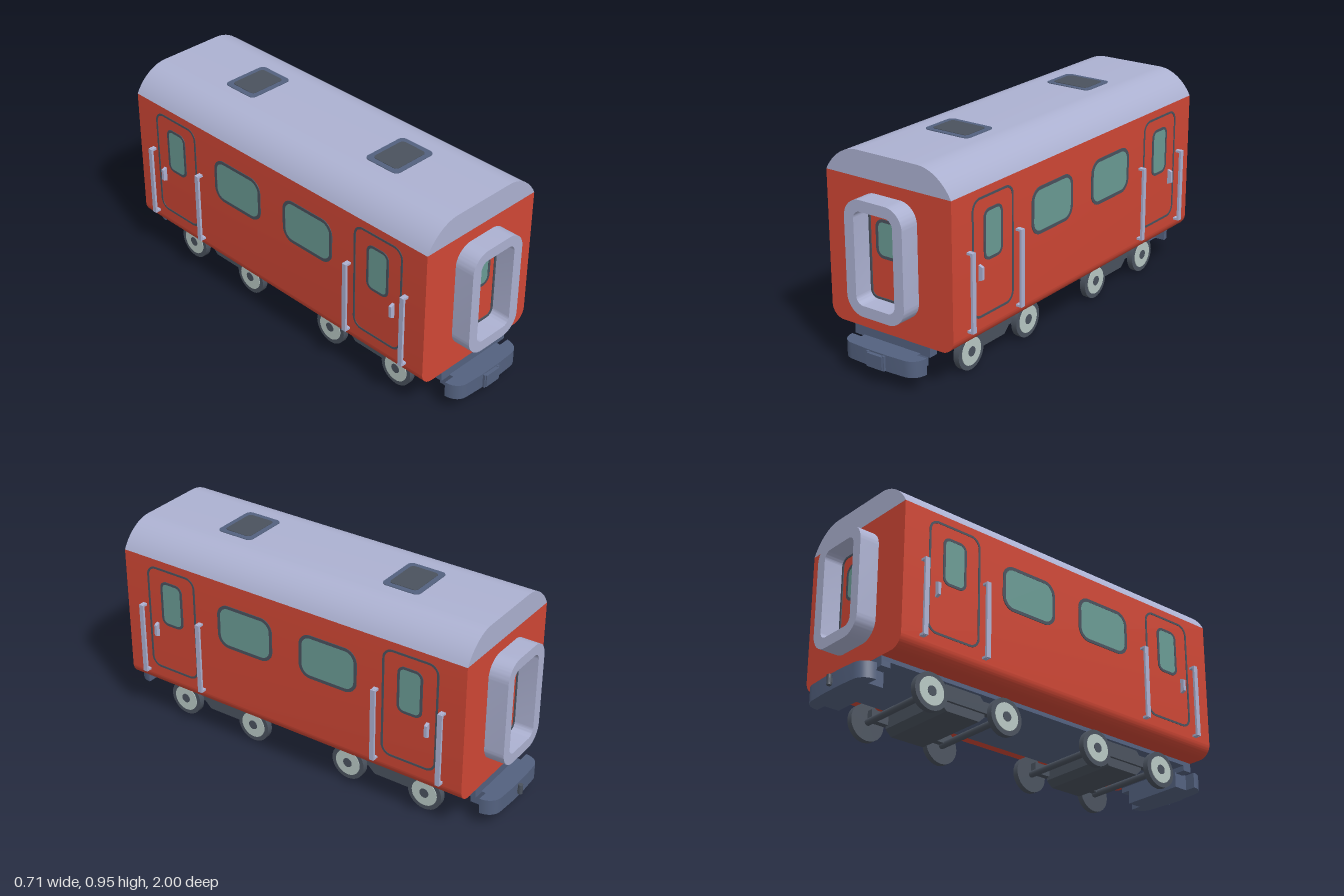
import * as THREE from 'three';
import { toCreasedNormals } from 'three/addons/utils/BufferGeometryUtils.js';

const paint = (name, color) => {
  const m = new THREE.MeshStandardMaterial({ color });
  m.name = name;
  return m;
};

// Rounded rectangle outline centred on the origin
function rounded(w, h, r, Type = THREE.Shape) {
  const s = new Type(), x = w / 2, y = h / 2, q = Math.PI / 2;
  s.moveTo(-x + r, -y);
  s.lineTo(x - r, -y); s.absarc(x - r, -y + r, r, -q, 0);
  s.lineTo(x, y - r); s.absarc(x - r, y - r, r, 0, q);
  s.lineTo(-x + r, y); s.absarc(-x + r, y - r, r, q, 2 * q);
  s.lineTo(-x, -y + r); s.absarc(-x + r, -y + r, r, 2 * q, 3 * q);
  return s;
}

function extrude(shape, depth, segments = 10) {
  const g = new THREE.ExtrudeGeometry(shape, { depth, bevelEnabled: false, curveSegments: segments });
  return toCreasedNormals(g, 0.6);
}

function ring(w, h, r, t, depth, innerR = Math.max(r - t, 0.005)) {
  const s = rounded(w, h, r);
  s.holes.push(rounded(w - 2 * t, h - 2 * t, innerR, THREE.Path));
  return extrude(s, depth);
}

export function createModel() {
  const model = new THREE.Group();
  model.name = 'railwayCarriage';
  const red = paint('red body', 0xd04735);
  const lavender = paint('pale lavender', 0xacb1d1);
  const slate = paint('slate blue', 0x53617f);
  const dark = paint('dark grey', 0x4a525e);
  const glass = paint('green glass', 0x6a9b94);
  const pale = paint('pale wheel disc', 0xb8c8c4);

  const add = (parent, name, geo, mat, x = 0, y = 0, z = 0) => {
    const m = new THREE.Mesh(geo, mat);
    m.name = name;
    m.position.set(x, y, z);
    parent.add(m);
    return m;
  };
  const box = (w, h, d) => new THREE.BoxGeometry(w, h, d);
  const group = (name) => {
    const g = new THREE.Group();
    g.name = name;
    model.add(g);
    return g;
  };

  // Body shell with rounded lower edges
  const W = 0.323, L = 0.885, R = 0.06, base = 0.178, eave = 0.83;
  const body = new THREE.Shape();
  body.moveTo(-W, eave);
  body.lineTo(-W, base + R);
  body.absarc(-W + R, base + R, R, Math.PI, Math.PI * 1.5);
  body.lineTo(W - R, base);
  body.absarc(W - R, base + R, R, -Math.PI / 2, 0);
  body.lineTo(W, eave);
  add(model, 'body', extrude(body, 2 * L), red, 0, 0, -L);

  // Curved roof
  const roof = new THREE.Shape();
  roof.moveTo(-W, eave);
  roof.lineTo(W, eave);
  roof.bezierCurveTo(0.29, 0.895, 0.225, 0.943, 0.155, 0.943);
  roof.lineTo(-0.155, 0.943);
  roof.bezierCurveTo(-0.225, 0.943, -0.29, 0.895, -W, eave);
  add(model, 'roof', extrude(roof, 2 * L, 14), lavender, 0, 0, -L);

  // Roof hatches
  for (const z of [-0.43, 0.43]) {
    const hatch = group('roofHatch');
    hatch.position.set(0, 0.942, z);
    hatch.rotation.x = -Math.PI / 2;
    add(hatch, 'hatchFrame', extrude(rounded(0.23, 0.182, 0.025), 0.004), slate);
    add(hatch, 'hatchPanel', extrude(rounded(0.18, 0.134, 0.018), 0.006), dark);
  }

  // A framed window in the local xy plane, facing +z
  const windowAt = (parent, x, y, w, h, r, t) => {
    add(parent, 'windowFrame', ring(w, h, r, t, 0.003), dark, x, y, 0);
    add(parent, 'windowGlass', extrude(rounded(w - 2 * t, h - 2 * t, r - t), 0.002), glass, x, y, 0);
  };

  // Both long sides, built facing +z then turned outwards
  for (const side of [-1, 1]) {
    const wall = group(side > 0 ? 'leftSide' : 'rightSide');
    wall.position.x = side * W;
    wall.rotation.y = side * Math.PI / 2;
    for (const e of [-1, 1]) {
      windowAt(wall, e * 0.218, 0.62, 0.295, 0.21, 0.06, 0.015);
      add(wall, 'doorOutline', ring(0.27, 0.515, 0.05, 0.01, 0.002), dark, e * 0.625, 0.537, 0);
      windowAt(wall, e * 0.625, 0.625, 0.122, 0.22, 0.035, 0.012);
      // Hand rails with end brackets
      for (const x of [0.463, 0.785]) {
        add(wall, 'handRail', box(0.022, 0.345, 0.011), lavender, e * x, 0.418, 0.0245);
        for (const y of [0.25, 0.586])
          add(wall, 'railBracket', box(0.022, 0.01, 0.022), lavender, e * x, y, 0.01);
      }
      // Door handle with chamfered ends
      const handle = new THREE.Shape([[0, -0.035], [0.02, -0.027], [0.02, 0.027], [0, 0.035]]
        .map(([x, y]) => new THREE.Vector2(x, y)));
      add(wall, 'doorHandle', extrude(handle, 0.014), lavender, e * 0.715 + 0.007, 0.478, 0)
        .rotation.y = -Math.PI / 2;
    }
  }

  // Outline of a buffer beam seen from above: narrow root, rounded wings
  const beam = new THREE.Shape();
  beam.moveTo(-0.15, 0.835);
  beam.lineTo(0.15, 0.835);
  beam.lineTo(0.15, 0.905);
  beam.lineTo(0.2, 0.905);
  beam.bezierCurveTo(0.2, 0.94, 0.18, 0.972, 0.14, 0.975);
  beam.lineTo(0.055, 0.98);
  beam.lineTo(-0.055, 0.98);
  beam.lineTo(-0.14, 0.975);
  beam.bezierCurveTo(-0.18, 0.972, -0.2, 0.94, -0.2, 0.905);
  beam.lineTo(-0.15, 0.905);

  // Both ends: gangway surround, door and buffer beam
  for (const e of [1, -1]) {
    const end = group(e > 0 ? 'frontEnd' : 'backEnd');
    end.rotation.y = e > 0 ? 0 : Math.PI;
    add(end, 'gangway', ring(0.3, 0.502, 0.085, 0.049, 0.092, 0.036), lavender, 0, 0.526, L);
    const door = new THREE.Group();
    door.name = 'endDoor';
    door.position.z = L;
    end.add(door);
    add(door, 'doorOutline', ring(0.202, 0.404, 0.036, 0.01, 0.004), dark, 0, 0.528, 0);
    windowAt(door, 0, 0.593, 0.13, 0.168, 0.04, 0.013);

    add(end, 'beamBracket', box(0.4, 0.045, 0.045), slate, 0, 0.157, 0.862);
    const b = add(end, 'bufferBeam', extrude(beam, 0.072), slate, 0, 0.14, 0);
    b.rotation.x = Math.PI / 2;
    if (e > 0) {
      // Coupling socket
      add(end, 'couplingPlate', box(0.08, 0.06, 0.018), slate, 0, 0.103, 0.987);
      for (const x of [-0.042, 0.042])
        add(end, 'couplingRib', box(0.01, 0.066, 0.012), slate, x, 0.103, 0.985);
    } else {
      // Coupling pin
      add(end, 'couplingArm', box(0.02, 0.02, 0.02), dark, 0, 0.105, 0.984);
      add(end, 'couplingPin', new THREE.CylinderGeometry(0.011, 0.011, 0.045, 12), dark, 0, 0.108, 0.989);
    }
  }

  // Underframe
  add(model, 'underframe', box(0.4, 0.02, 1.76), slate, 0, 0.169, 0);

  // Bogies with wheels
  const block = new THREE.Shape([[-0.115, 0.07], [-0.085, 0.042], [0.085, 0.042], [0.115, 0.07],
    [0.115, 0.13], [0.09, 0.16], [-0.09, 0.16], [-0.115, 0.13]].map(([x, y]) => new THREE.Vector2(x, y)));
  const wheelParts = [
    ['tyre', 0.083, 0.028, 0.214, dark],
    ['wheelDisc', 0.062, 0.004, 0.229, pale],
    ['hub', 0.022, 0.006, 0.23, dark],
  ];
  for (const c of [-0.457, 0.457]) {
    const bogie = group('bogie');
    bogie.position.z = c;
    add(bogie, 'bogieBlock', extrude(block, 0.37), dark, -0.185, 0, 0).rotation.y = Math.PI / 2;
    for (const s of [-1, 1])
      add(bogie, 'sideBeam', box(0.03, 0.05, 0.4), dark, s * 0.182, 0.108, 0);
    for (const z of [-0.197, 0.197]) {
      const axle = new THREE.CylinderGeometry(0.015, 0.015, 0.41, 12);
      add(bogie, 'axle', axle, dark, 0, 0.083, z).rotation.z = Math.PI / 2;
      for (const s of [-1, 1])
        for (const [name, r, w, x, mat] of wheelParts)
          add(bogie, name, new THREE.CylinderGeometry(r, r, w, 28), mat, s * x, 0.083, z)
            .rotation.z = Math.PI / 2;
    }
  }
  return model;
}
